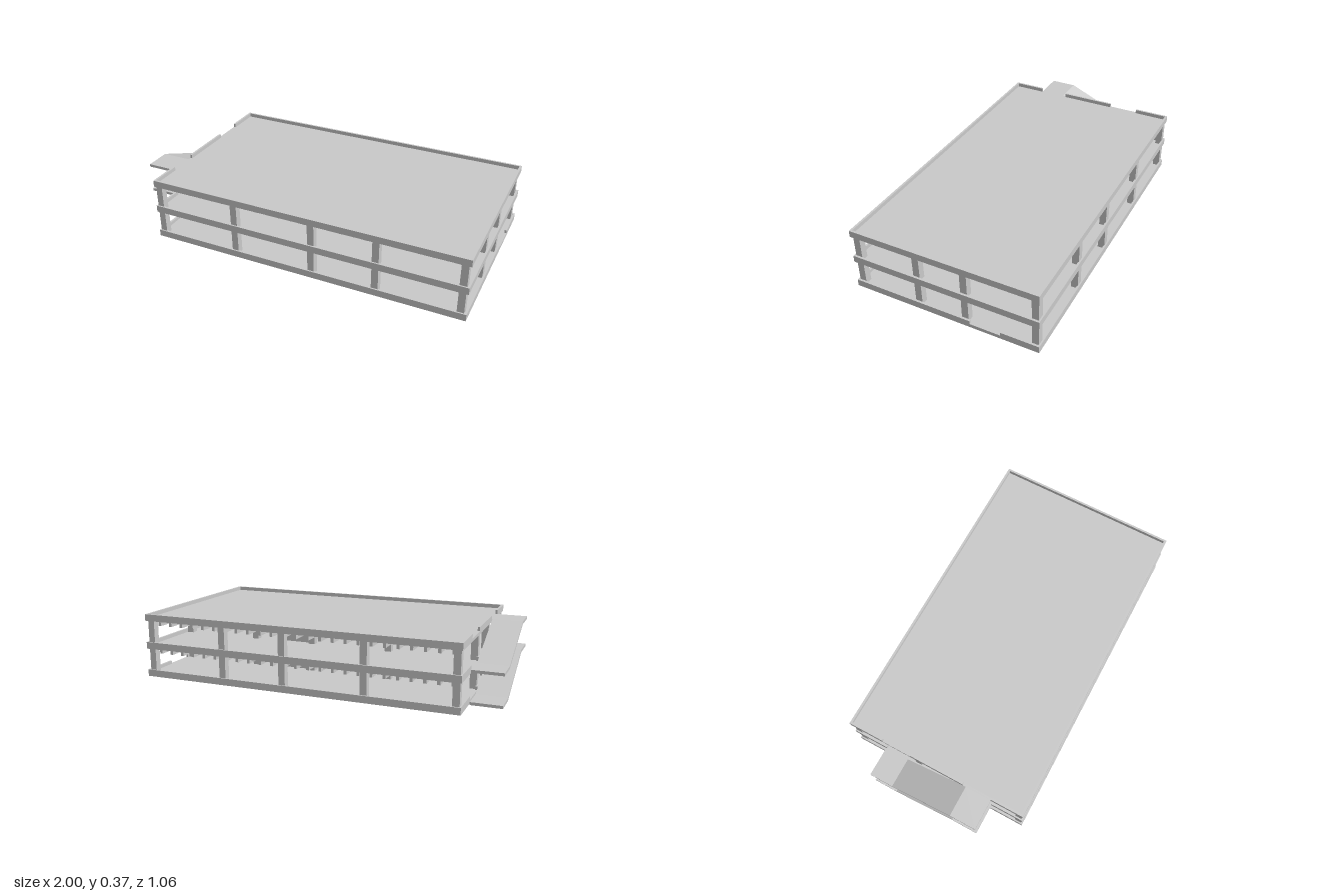
import * as THREE from 'three';

const mat = new THREE.MeshStandardMaterial({ color: 0xcccccc, flatShading: true });

// Box given by its min and max on each axis
function block(parent, name, x0, x1, y0, y1, z0, z1) {
  const mesh = new THREE.Mesh(new THREE.BoxGeometry(x1 - x0, y1 - y0, z1 - z0), mat);
  mesh.position.set((x0 + x1) / 2, (y0 + y1) / 2, (z0 + z1) / 2);
  mesh.name = name;
  parent.add(mesh);
}

const X0 = -0.83, X1 = 1, Z = 0.53, T = 0.012;
const columnX = [-0.803, -0.32, 0.145, 0.51, 0.967];
const columnZ = [-0.503, -0.117, 0.153, 0.503];
const levels = [
  { base: 0.008, floor: 0.028, top: 0.047 },
  { base: 0.17, floor: 0.187, top: 0.209 },
  { base: 0.333, floor: 0.349, top: 0.371 },
];

// Floor slab with a low wall around it, open where vehicles pass
function makeDeck(level, index) {
  const g = new THREE.Group();
  g.name = 'deck';
  const { base, floor, top } = level;
  block(g, 'floorSlab', X0 + T, X1 - T, base, floor, -Z + T, Z - T);
  for (const s of [-1, 1]) {
    block(g, 'longParapet', X0, X1, base, top, s > 0 ? Z - T : -Z, s > 0 ? Z : -Z + T);
  }
  // ramp side: openings at both landings
  for (const [a, b] of [[-Z + T, -0.325], [-0.15, 0.17], [0.34, Z - T]]) {
    block(g, 'rampSideParapet', X0, X0 + T, base, top, a, b);
  }
  for (const [a, b] of [[-0.325, -0.15], [0.17, 0.34]]) {
    block(g, 'rampThreshold', X0, X0 + T, base, floor, a, b);
  }
  // far side: entrance on the ground level only
  if (index === 0) {
    block(g, 'entranceParapet', X1 - T, X1, base, top, -Z + T, -0.32);
    block(g, 'entranceParapet', X1 - T, X1, base, top, -0.148, Z - T);
    block(g, 'entranceThreshold', X1 - T, X1, base, floor, -0.32, -0.148);
  } else {
    block(g, 'endParapet', X1 - T, X1, base, top, -Z + T, Z - T);
  }
  return g;
}

// Columns, ceiling beams and the enclosed core of one storey
function makeStorey(y0, y1) {
  const g = new THREE.Group();
  g.name = 'storey';
  const h = 0.019, beam = y1 - 0.036;
  for (const x of columnX) {
    for (const z of columnZ) block(g, 'column', x - h, x + h, y0, y1, z - h, z + h);
  }
  for (const z of columnZ.slice(1, 3)) {
    block(g, 'girder', -0.785, 0.95, beam, y1 - 0.006, z - 0.013, z + 0.013);
  }
  const count = 24;
  for (let i = 0; i <= count; i++) {
    const x = -0.775 + (i / count) * 1.715;
    block(g, 'joist', x - 0.008, x + 0.008, beam, y1, -0.48, 0.48);
  }
  block(g, 'stairCore', 0.16, 0.326, y0, y1, -0.11, 0.145);
  return g;
}

// Sloped slab with a flat landing at each end
function makeRamp(low, high) {
  const t = 0.016;
  const path = [[-0.33, low], [-0.19, low], [0.19, high], [0.34, high]];
  const shape = new THREE.Shape();
  path.forEach(([z, y], i) => (i ? shape.lineTo(z, y - t) : shape.moveTo(z, y - t)));
  path.slice().reverse().forEach(([z, y]) => shape.lineTo(z, y));
  const geo = new THREE.ExtrudeGeometry(shape, { depth: 1 + X0, bevelEnabled: false });
  geo.rotateY(-Math.PI / 2).translate(X0, 0, 0);
  const mesh = new THREE.Mesh(geo, mat);
  mesh.name = 'ramp';
  return mesh;
}

export function createModel() {
  const model = new THREE.Group();
  model.name = 'parkingGarage';
  levels.forEach((level, i) => model.add(makeDeck(level, i)));
  for (let i = 0; i < 2; i++) {
    model.add(makeStorey(levels[i].floor, levels[i + 1].base));
    model.add(makeRamp(i ? levels[1].floor : 0.016, levels[i + 1].floor));
  }
  return model;
}
